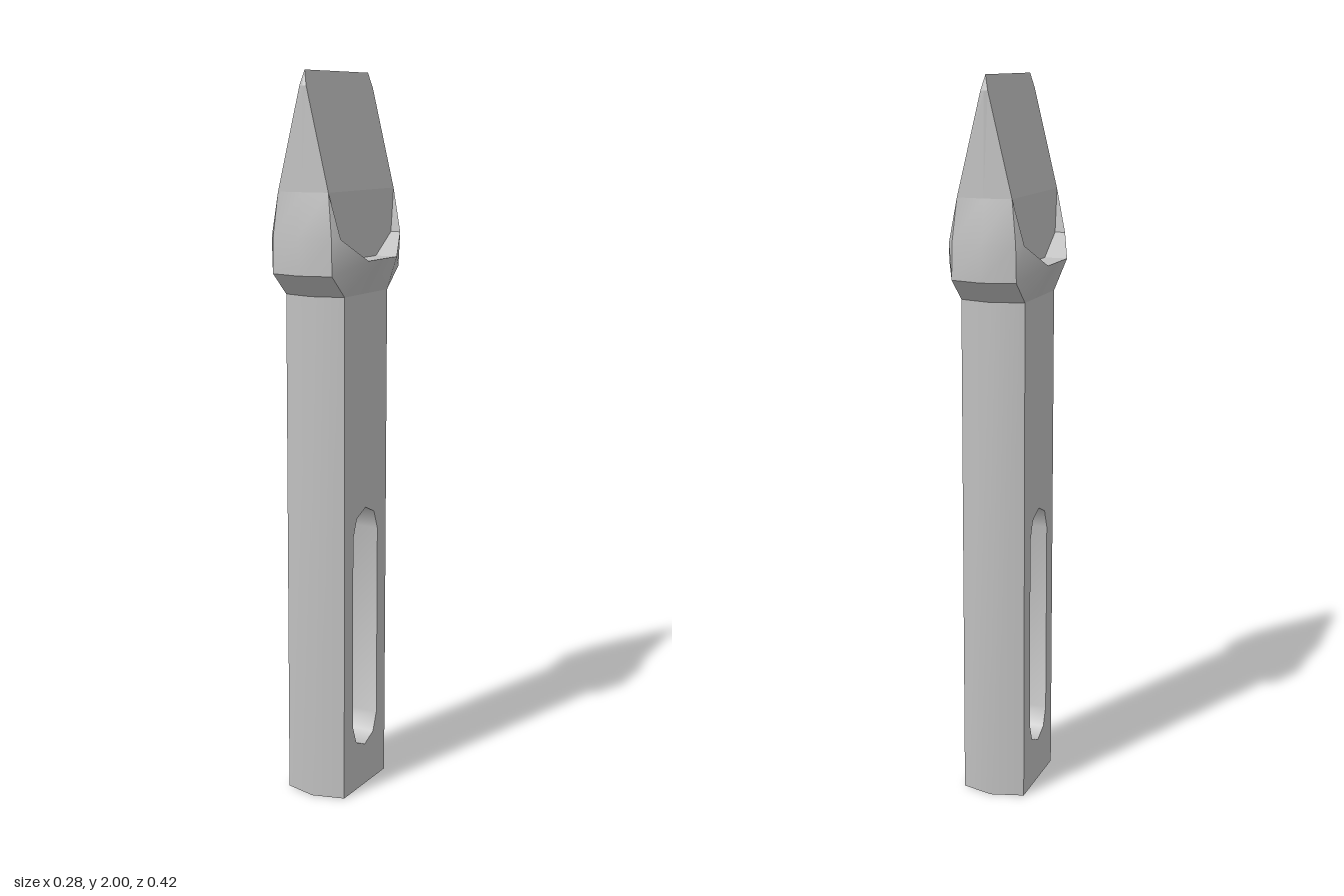
import * as THREE from 'three';
import { toCreasedNormals } from 'three/addons/utils/BufferGeometryUtils.js';

const steel = new THREE.MeshStandardMaterial({ color: 0xc0c0c0 });
steel.name = 'steel grey';

// Build convex polygons given for the +x +z quarter, mirrored into all four quarters
function quartered(polygons, crease) {
  const pos = [];
  for (const sx of [1, -1]) for (const sz of [1, -1]) {
    for (const poly of polygons) {
      const p = poly.map(([x, y, z]) => [x * sx, y, z * sz]);
      if (sx * sz < 0) p.reverse();
      for (let i = 1; i < p.length - 1; i++) pos.push(...p[0], ...p[i], ...p[i + 1]);
    }
  }
  const g = new THREE.BufferGeometry();
  g.setAttribute('position', new THREE.Float32BufferAttribute(pos, 3));
  g.computeVertexNormals();
  return crease ? toCreasedNormals(g, crease) : g;
}

export function createModel() {
  const group = new THREE.Group();
  const add = (name, geometry) => {
    const mesh = new THREE.Mesh(geometry, steel);
    mesh.name = name;
    group.add(mesh);
  };
  const W = 0.09, D = 0.12, RIDGE = 0.145, H = 1.415;

  // Shaft core: flat sides with a long slot through x
  const side = new THREE.Shape([[-D, 0], [D, 0], [D, H], [-D, H]].map(p => new THREE.Vector2(...p)));
  const slot = [];
  for (let i = 0; i <= 4; i++) {
    const a = i * Math.PI / 4;
    slot.push(new THREE.Vector2(0.07 * Math.cos(a), 0.745 + 0.075 * Math.sin(a)));
  }
  for (let i = 4; i <= 8; i++) {
    const a = i * Math.PI / 4;
    slot.push(new THREE.Vector2(0.07 * Math.cos(a), 0.195 + 0.075 * Math.sin(a)));
  }
  side.holes.push(new THREE.Path(slot));
  const core = new THREE.ExtrudeGeometry(side, { depth: W * 2, bevelEnabled: false });
  core.translate(0, 0, -W).rotateY(Math.PI / 2);
  add('slottedShaft', toCreasedNormals(core, 0.9));

  // Shallow ridged front and back of the shaft
  add('shaftRidges', quartered([
    [[0, 0, RIDGE], [W, 0, D], [W, H, D], [0, H, RIDGE]],
    [[0, 0, RIDGE], [0, 0, D], [W, 0, D]],
  ], 0.6));

  // Corner points of the head
  const A0 = [0, H, RIDGE], A1 = [W, H, D], A2 = [W, H, 0];
  const B0 = [0, 1.475, 0.21], B1 = [W, 1.475, 0.187];
  const C0 = [0, 1.575, 0.21], C1 = [0.088, 1.575, 0.187];
  const W1 = [0.14, 1.51, 0.08], W2 = [0.14, 1.51, 0], V = [0.105, 1.57, 0.167];
  const I1 = [0.076, 1.51, 0.08], I2 = [0.076, 1.51, 0], IV = [0.076, 1.57, 0.167];
  const T0 = [0, 1.69, 0.187], T1 = [0.076, 1.69, 0.181], M = [0.076, 1.69, 0];
  const P0 = [0, 1.96, 0.182], P1 = [0.01, 1.96, 0.18];
  const Q = [0, 2, 0.17], R = [0, 2, 0];

  // Flared collar and the narrow ends of the blade
  add('collar', quartered([
    [A0, A1, B1, B0], [B0, B1, C1, C0], [C0, C1, T1, T0],
    [A1, A2, W2, W1], [A1, W1, B1], [B1, W1, V], [B1, V, C1], [C1, V, T1],
  ], 0.6));
  add('bladeEnds', quartered([[T0, T1, P1, P0], [P0, P1, Q]]));

  // Ledges cut into the collar beside the blade
  add('ledges', quartered([[W1, W2, I2, I1], [V, W1, I1, IV], [V, IV, T1]]));

  // Upright lower faces and slanted faces meeting at the cutting edge
  add('bladeFaces', quartered([[I1, I2, M, T1, IV], [T1, M, R, Q, P1]]));

  return group;
}
